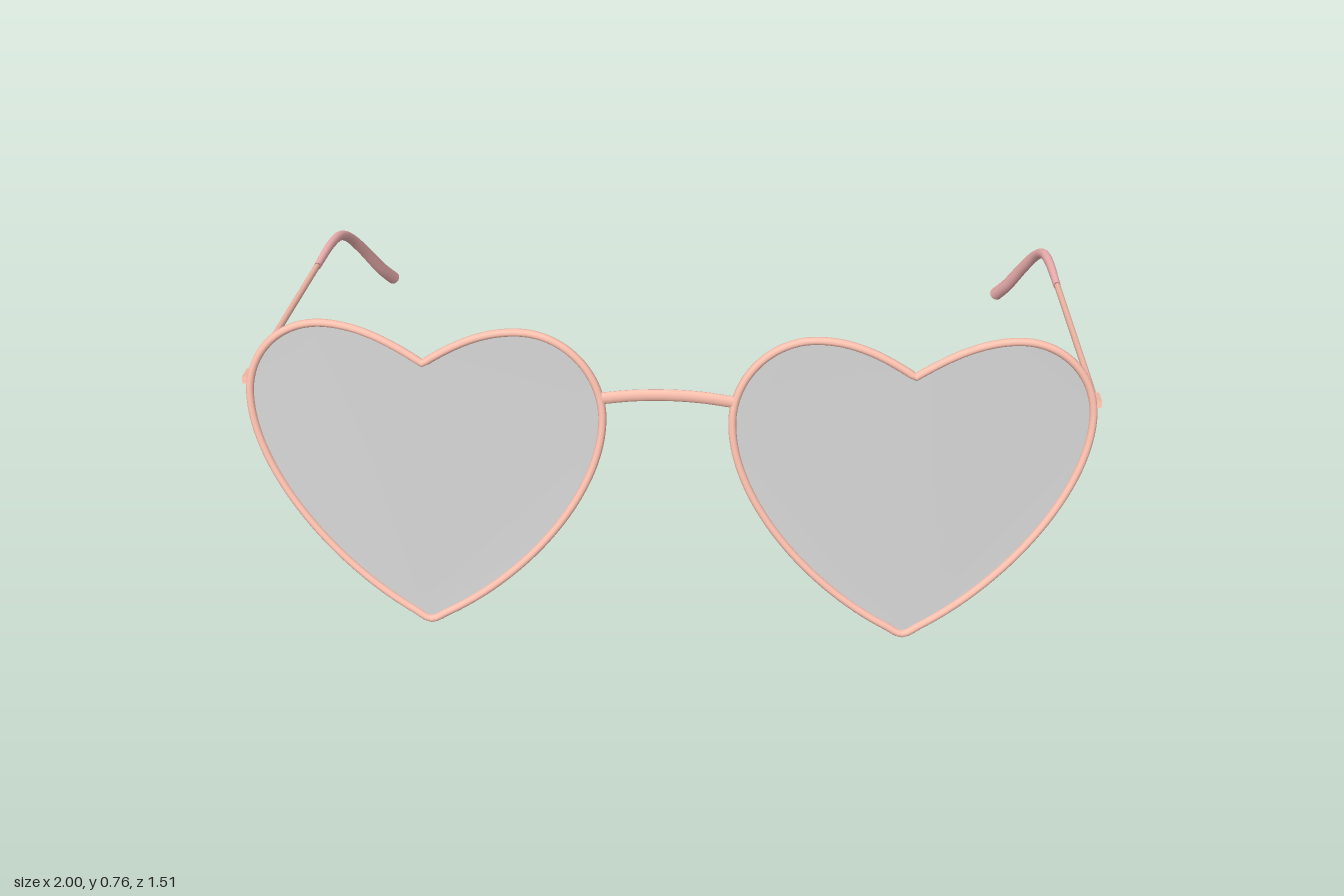
import * as THREE from 'three';

const frameMat = new THREE.MeshStandardMaterial({ color: 0xffc2b0 });
const sleeveMat = new THREE.MeshStandardMaterial({ color: 0xffbcbc });
const lensMat = new THREE.MeshStandardMaterial({ color: 0xcccccc, side: THREE.DoubleSide });

const LENS_X = 0.566;

// Depth of the tilted, gently wrapped front; u runs outward from the lens middle.
const frontZ = (u, y) => 0.748 - 0.21 * y - 0.065 * u - 0.1 * u * u;

// Heart outline, starting at the bottom tip and passing the outer lobe first.
function heartShape() {
  const s = new THREE.Shape();
  s.moveTo(0, 0.013);
  s.bezierCurveTo(0.21, 0.115, 0.416, 0.35, 0.416, 0.55);
  s.bezierCurveTo(0.416, 0.66, 0.33, 0.747, 0.225, 0.747);
  s.bezierCurveTo(0.14, 0.747, 0.07, 0.71, 0, 0.667);
  s.bezierCurveTo(-0.07, 0.715, -0.14, 0.754, -0.225, 0.754);
  s.bezierCurveTo(-0.33, 0.754, -0.416, 0.66, -0.416, 0.55);
  s.bezierCurveTo(-0.416, 0.35, -0.21, 0.115, 0, 0.013);
  return s;
}

function mesh(name, geometry, material) {
  const m = new THREE.Mesh(geometry, material);
  m.name = name;
  return m;
}

const curveThrough = (points) =>
  new THREE.CatmullRomCurve3(points.map((p) => new THREE.Vector3(...p)), false, 'centripetal');

// Tube whose radius changes evenly from r0 to r1, with flat closed ends.
function taperedTube(curve, r0, r1, segments, sides) {
  const g = new THREE.TubeGeometry(curve, segments, 1, sides, false);
  const pos = g.attributes.position;
  const v = new THREE.Vector3();
  for (let i = 0; i <= segments; i++) {
    const end = i === 0 || i === segments;
    const c = curve.getPointAt(i / segments);
    // The end rings collapse onto the middle of their neighbours to form the caps.
    const target = curve.getPointAt(Math.min(Math.max(i, 1), segments - 1) / segments);
    const r = end ? 0 : r0 + (r1 - r0) * (i / segments);
    for (let j = 0; j <= sides; j++) {
      const k = i * (sides + 1) + j;
      v.fromBufferAttribute(pos, k).sub(c).multiplyScalar(r).add(target);
      pos.setXYZ(k, v.x, v.y, v.z);
    }
  }
  return g;
}

function buildSide(side) {
  const group = new THREE.Group();
  const label = side > 0 ? 'left' : 'right';
  group.name = label + 'Side';
  const shape = heartShape();

  // Lens: the heart bent onto the front surface
  const lens = new THREE.ShapeGeometry(shape, 16);
  const pos = lens.attributes.position;
  for (let i = 0; i < pos.count; i++) {
    const u = pos.getX(i), y = pos.getY(i);
    pos.setXYZ(i, side * (LENS_X + u), y, frontZ(u, y));
  }
  if (side < 0) {
    // Mirroring turns the faces round, so swap two corners of each
    const idx = lens.index;
    for (let i = 0; i < idx.count; i += 3) {
      const a = idx.getX(i);
      idx.setX(i, idx.getX(i + 1));
      idx.setX(i + 1, a);
    }
  }
  lens.computeVertexNormals();
  group.add(mesh(label + 'Lens', lens, lensMat));

  // Rim: a wire following the lens edge
  const outline = shape.getPoints(16).slice(0, -1)
    .map((p) => new THREE.Vector3(side * (LENS_X + p.x), p.y, frontZ(p.x, p.y)));
  const rimCurve = new THREE.CatmullRomCurve3(outline, true, 'centripetal');
  group.add(mesh(label + 'Rim', new THREE.TubeGeometry(rimCurve, 192, 0.0095, 10, true), frameMat));

  // Hinge block at the outer edge of the rim
  const hinge = mesh(label + 'Hinge', new THREE.BoxGeometry(0.018, 0.018, 0.05), frameMat);
  hinge.position.set(side * 0.989, 0.583, 0.56);
  hinge.rotation.x = -0.23;
  group.add(hinge);

  // Thin temple wire
  const arm = curveThrough([
    [side * 0.988, 0.582, 0.575], [side * 0.988, 0.493, 0.19], [side * 0.987, 0.394, -0.24],
  ]);
  group.add(mesh(label + 'Temple', taperedTube(arm, 0.0075, 0.0085, 24, 10), frameMat));

  // Thicker sleeve that bends down and in behind the ear
  const sleeve = curveThrough([
    [side * 0.987, 0.402, -0.2], [side * 0.987, 0.354, -0.4], [side * 0.983, 0.318, -0.5],
    [side * 0.973, 0.276, -0.56], [side * 0.95, 0.2, -0.62], [side * 0.915, 0.088, -0.692],
    [side * 0.889, 0.017, -0.747],
  ]);
  group.add(mesh(label + 'EarSleeve', taperedTube(sleeve, 0.0095, 0.0185, 64, 14), sleeveMat));
  return group;
}

export function createModel() {
  const model = new THREE.Group();
  model.name = 'heartGlasses';
  for (const side of [1, -1]) model.add(buildSide(side));

  // Bridge: a shallow arch, flattened front to back
  const arch = curveThrough([
    [-0.15, 0.6, 0], [-0.08, 0.61, 0], [0, 0.614, 0], [0.08, 0.61, 0], [0.15, 0.6, 0],
  ]);
  const bridge = mesh('bridge', new THREE.TubeGeometry(arch, 24, 0.0155, 12, false), frameMat);
  bridge.scale.z = 0.55;
  bridge.position.z = 0.632;
  model.add(bridge);
  return model;
}
